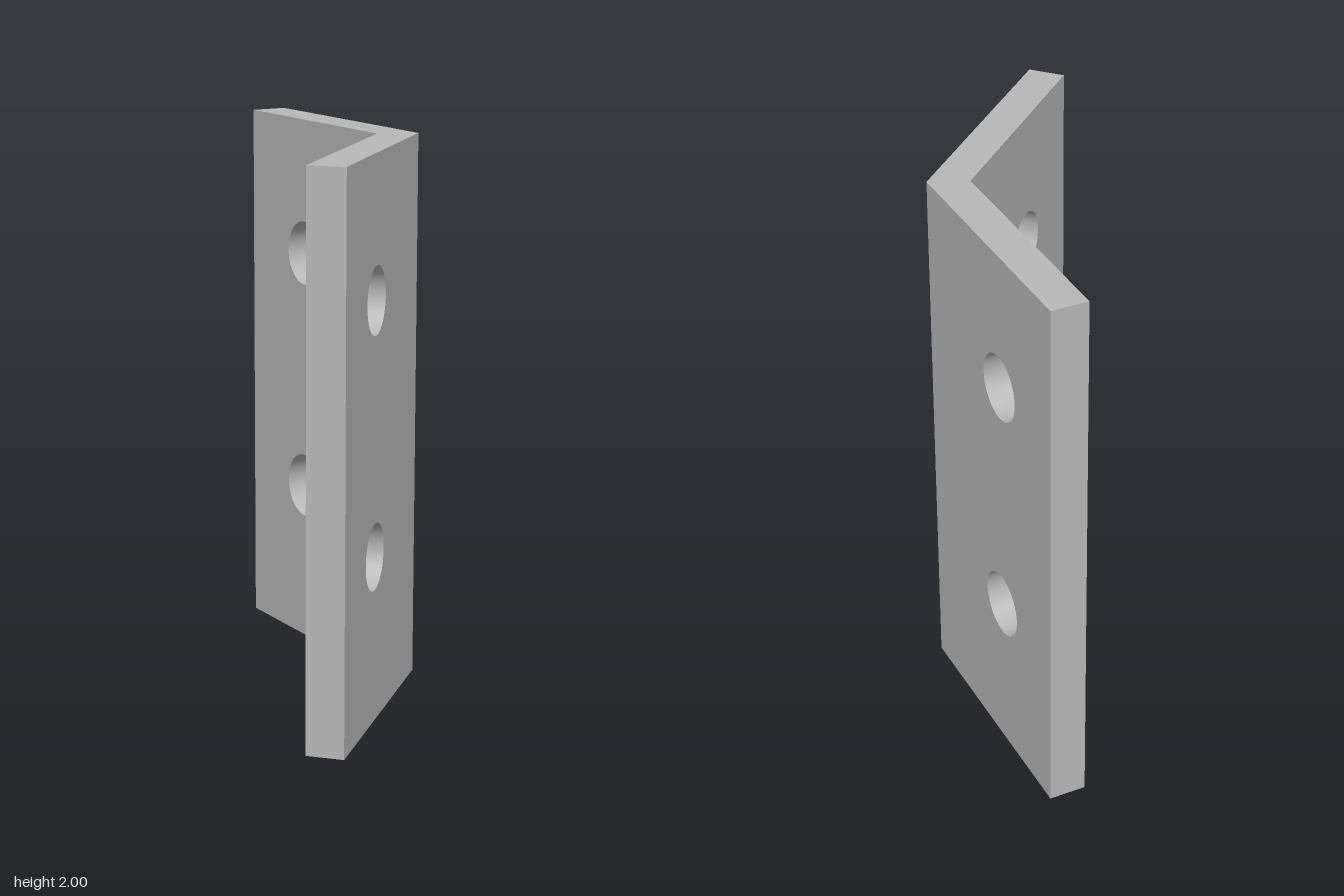
import * as THREE from 'three';
import { toCreasedNormals } from 'three/addons/utils/BufferGeometryUtils.js';

const HEIGHT = 2, LENGTH = 0.94, THICK = 0.135;
const BEND = THREE.MathUtils.degToRad(47.4);
const HOLE_AT = 0.557, HOLE_RADIUS = 0.12, HOLE_HEIGHTS = [0.6, 1.5];

// Drilled plate running along +x from the fold, mitred on its inner face
function plateGeometry(innerZ) {
  const shape = new THREE.Shape([
    new THREE.Vector2(0, 0), new THREE.Vector2(LENGTH, 0),
    new THREE.Vector2(LENGTH, HEIGHT), new THREE.Vector2(0, HEIGHT),
  ]);
  for (const y of HOLE_HEIGHTS) {
    shape.holes.push(new THREE.Path().absarc(HOLE_AT, y, HOLE_RADIUS, 0, Math.PI * 2, true));
  }
  const geometry = new THREE.ExtrudeGeometry(shape, { depth: THICK, bevelEnabled: false, curveSegments: 32 });

  // Leave out the wall at the fold, where the two plates join, and shift the inner corners
  const source = geometry.attributes.position;
  const kept = [];
  for (let i = 0; i < source.count; i += 3) {
    const corners = [0, 1, 2].map((k) => new THREE.Vector3().fromBufferAttribute(source, i + k));
    if (corners.every((c) => c.x < 1e-5)) continue;
    for (const c of corners) {
      if (c.x < 1e-5 && Math.abs(c.z - innerZ) < 1e-5) c.x = THICK * Math.tan(BEND / 2);
      kept.push(c.x, c.y, c.z);
    }
  }
  const plate = new THREE.BufferGeometry();
  plate.setAttribute('position', new THREE.Float32BufferAttribute(kept, 3));
  return toCreasedNormals(plate, Math.PI / 6);
}

export function createModel() {
  const group = new THREE.Group();
  group.name = 'angleBracket';
  const steel = new THREE.MeshStandardMaterial({ color: 0xb8b8b8 });
  steel.name = 'steel grey';

  // Straight plate, running to the back
  const straight = new THREE.Mesh(plateGeometry(0), steel);
  straight.name = 'straightPlate';
  straight.rotation.y = Math.PI / 2;
  straight.position.set(0.39 - THICK, 0, 0.15);

  // Angled plate, running to the front and right
  const angled = new THREE.Mesh(plateGeometry(THICK), steel);
  angled.name = 'angledPlate';
  angled.rotation.y = -(Math.PI / 2 + BEND);
  angled.position.set(0.39, 0, 0.15);

  group.add(straight, angled);
  return group;
}
